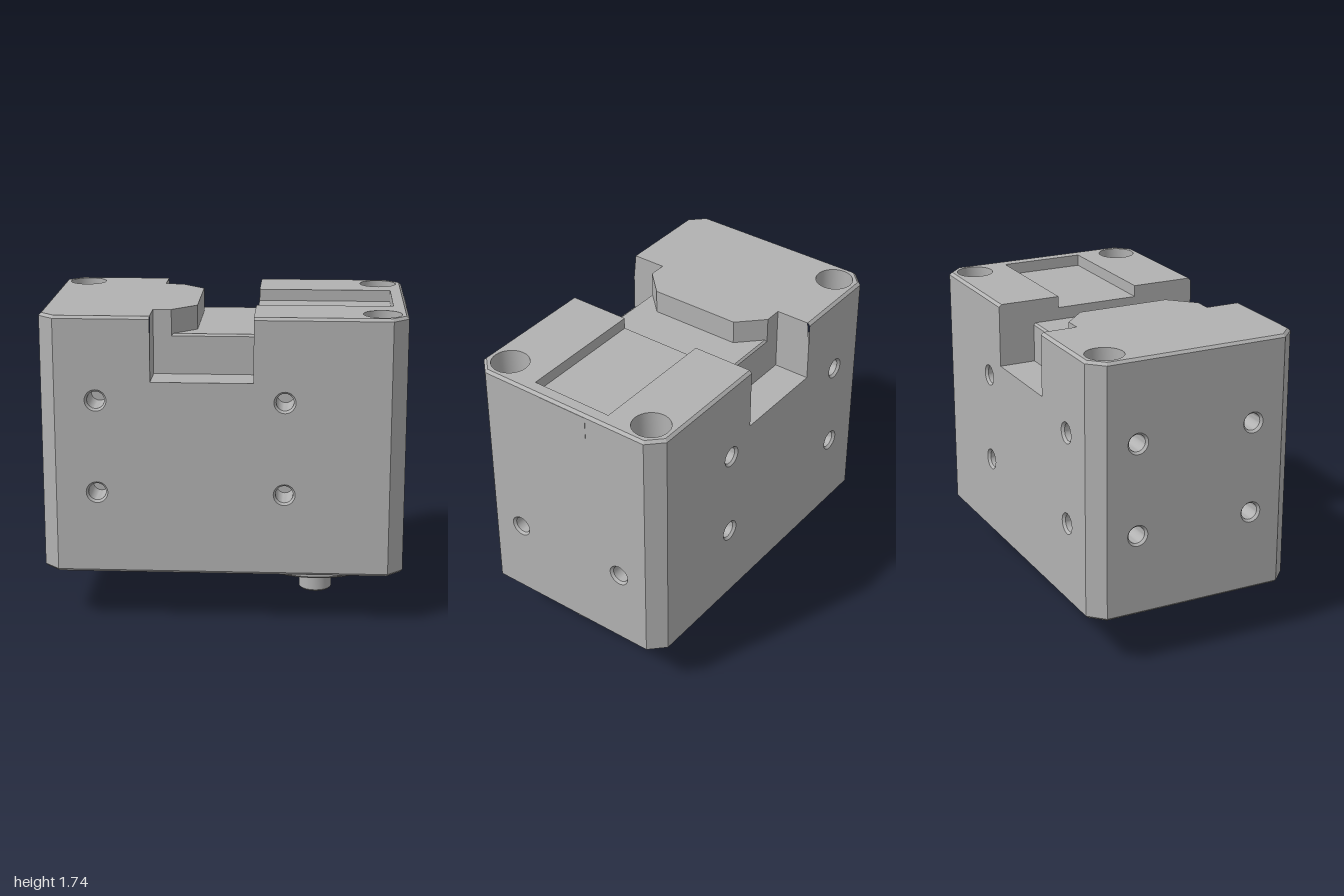
import * as THREE from 'three';
import { toCreasedNormals } from 'three/addons/utils/BufferGeometryUtils.js';

const TOP = 1.735, BASE = 0.285, BEVEL = 0.015;
const HALF = Math.PI / 2;

export function createModel() {
  const model = new THREE.Group();
  model.name = 'gearedActuator';
  const grey = new THREE.MeshStandardMaterial({ color: 0xb2b2b2 });
  grey.name = 'grey metal';

  function add(parent, name, geometry) {
    const mesh = new THREE.Mesh(geometry, grey);
    mesh.name = name;
    parent.add(mesh);
    return mesh;
  }

  function lathe(profile, segments = 48) {
    const pts = profile.map(([r, y]) => new THREE.Vector2(r, y));
    return toCreasedNormals(new THREE.LatheGeometry(pts, segments), 0.5);
  }

  // Flat face with drilled pockets; each hole is [x, y, pocket profile]
  function panel(name, pts, holes, rotation, position) {
    const shape = new THREE.Shape(pts.map(([x, y]) => new THREE.Vector2(x, y)));
    const group = new THREE.Group();
    group.name = name;
    for (const [x, y, profile] of holes) {
      shape.holes.push(new THREE.Path().absarc(x, y, profile[0][0], 0, Math.PI * 2, true));
      const pocket = add(group, name + 'Hole', lathe(profile, 32).rotateX(HALF));
      pocket.position.set(x, y, 0);
    }
    add(group, name + 'Face', new THREE.ShapeGeometry(shape, 16));
    group.rotation.set(...rotation);
    group.position.set(...position);
    model.add(group);
  }

  // Upward face from x,z points
  const deck = (name, pts, y, holes = []) => panel(name, pts.map(([x, z]) => [x, -z]),
    holes.map(([x, z, p]) => [x, -z, p]), [-HALF, 0, 0], [0, y, 0]);

  const rect = (x0, x1, y0, y1) => [[x0, y0], [x1, y0], [x1, y1], [x0, y1]];

  // Band of flat quads between a lower and an upper x,z polyline
  function strip(name, lower, y0, upper, y1) {
    const v = [];
    for (let i = 0; i < lower.length - 1; i++) {
      const a = [lower[i][0], y0, lower[i][1]], b = [lower[i + 1][0], y0, lower[i + 1][1]];
      const c = [upper[i + 1][0], y1, upper[i + 1][1]], d = [upper[i][0], y1, upper[i][1]];
      v.push(...a, ...b, ...c, ...a, ...c, ...d);
    }
    const g = new THREE.BufferGeometry();
    g.setAttribute('position', new THREE.Float32BufferAttribute(v, 3));
    g.computeVertexNormals();
    add(model, name, g);
  }

  // Housing outline inset by b: right-hand half, then left-hand half
  function half(b, s) {
    const cx = 0.915 - 0.414 * b, cz = 0.525 - 0.414 * b;
    return [[cx, 0.61 - b], [1 - b, cz], [1 - b, -cz], [cx, b - 0.61]].map(([x, z]) => [s * x, s * z]);
  }
  const posX = (b) => [[0.17, 0.61 - b], ...half(b, 1), [0.17, b - 0.61]];
  const negX = (b) => [[-0.39, b - 0.61], ...half(b, -1), [-0.39, 0.61 - b]];
  const ring = (b) => [...half(b, 1), ...half(b, -1), half(b, 1)[0]];

  // Pocket profiles
  const screwHole = [[0.06, 0], [0.048, -0.014], [0.048, -0.2], [0, -0.2]];
  const cornerHole = [[0.105, 0], [0.105, -0.2], [0.06, -0.2], [0.045, -0.25], [0.045, -0.3], [0, -0.33]];
  const plainHole = [[0.05, 0], [0.05, -0.12], [0, -0.12]];
  const pinHole = [[0.04, 0], [0.04, -0.07], [0, -0.07]];

  // Front and back with the notch
  const lo = BASE + BEVEL, hi = TOP - BEVEL;
  for (const s of [1, -1]) {
    const pts = [[-0.915, lo], [0.915, lo], [0.915, hi], [0.17, hi], [0.17, 1.375],
      [-0.39, 1.375], [-0.39, hi], [-0.915, hi]].map(([x, y]) => [s * x, y]);
    const holes = [];
    for (const x of [-0.69, 0.34]) for (const y of [0.75, 1.27]) holes.push([s * x, y, screwHole]);
    panel(s > 0 ? 'front' : 'back', pts, holes, [0, s > 0 ? 0 : Math.PI, 0], [0, 0, s * 0.61]);

    // Side with screw holes: one row on +x, two rows on -x
    const sideHoles = [];
    for (const z of [-0.345, 0.345]) for (const y of s > 0 ? [0.75] : [0.75, 1.27]) sideHoles.push([z, y, screwHole]);
    panel(s > 0 ? 'leftSide' : 'rightSide', rect(-0.525, 0.525, lo, hi), sideHoles, [0, s * HALF, 0], [s, 0, 0]);

    // Chamfered vertical corners
    const h = half(0, s);
    strip('cornerChamfer', h.slice(0, 2), lo, h.slice(0, 2), hi);
    strip('cornerChamfer', h.slice(2), lo, h.slice(2), hi);
  }

  // Edge bevels
  strip('bottomBevel', ring(BEVEL), BASE, ring(0), lo);
  strip('topBevelLeft', posX(0), hi, posX(BEVEL), TOP);
  strip('topBevelRight', negX(0), hi, negX(BEVEL), TOP);

  // Underside
  const under = [];
  for (const z of [-0.47, 0.47]) {
    for (const x of [-0.86, 0.86]) under.push([x, z, cornerHole]);
    under.push([0.18, z, plainHole]);
  }
  panel('underside', ring(BEVEL).slice(0, -1), under, [HALF, 0, 0], [0, BASE, 0]);

  // Top decks either side of the slot
  const tongue = [[-0.39, 0.4], [-0.29, 0.4], [-0.155, 0.265], [-0.155, -0.265], [-0.29, -0.4], [-0.39, -0.4]];
  const recess = [[0.17, -0.245], [0.925, -0.245], [0.925, 0.24], [0.17, 0.24]];
  deck('topRight', [...negX(BEVEL), ...tongue], TOP, [[-0.86, -0.47, cornerHole]]);
  deck('topLeft', [...posX(BEVEL), ...recess], TOP, [[0.86, -0.47, cornerHole], [0.86, 0.47, cornerHole]]);

  // Recess in the left deck
  deck('recessFloor', recess, 1.67);
  strip('recessWalls', recess, 1.67, recess, TOP);

  // Slot and notches
  deck('slotFloor', rect(-0.29, 0.17, -0.39, 0.39), 1.6);
  deck('frontLedge', rect(-0.39, 0.17, 0.4, 0.61), 1.375);
  deck('backLedge', rect(-0.39, 0.17, -0.61, -0.4), 1.375);
  strip('tongueWalls', [[-0.39, 0.61], ...tongue, [-0.39, -0.61]], 1.588,
    [[-0.39, 0.595], ...tongue, [-0.39, -0.595]], TOP);
  const frontNotch = [[-0.39, 0.61], [-0.39, 0.4], [0.17, 0.4]];
  const backNotch = [[0.17, -0.4], [-0.39, -0.4], [-0.39, -0.61]];
  strip('frontNotchWalls', frontNotch, 1.375, frontNotch, 1.588);
  strip('backNotchWalls', backNotch, 1.375, backNotch, 1.588);
  strip('slotBevelFront', [[-0.29, 0.4], [0.17, 0.4]], 1.588, [[-0.29, 0.39], [0.17, 0.39]], 1.6);
  strip('slotBevelBack', [[0.17, -0.4], [-0.29, -0.4]], 1.588, [[0.17, -0.39], [-0.29, -0.39]], 1.6);
  panel('slotWall', [[-0.61, 1.375], [-0.4, 1.375], [-0.4, 1.588], [-0.39, 1.6], [0.39, 1.6], [0.4, 1.588],
    [0.4, 1.375], [0.61, 1.375], [0.61, hi], [0.595, TOP], [0.24, TOP], [0.24, 1.67],
    [-0.245, 1.67], [-0.245, TOP], [-0.595, TOP], [-0.61, hi]], [], [0, -HALF, 0], [0.17, 0, 0]);

  // Small key plate in the left side
  add(model, 'keyPlate', new THREE.BoxGeometry(0.008, 0.13, 0.3)).position.set(0.998, 1.655, 0);

  // Output flange, boss and shaft
  const cx = 0.515;
  const flange = lathe([[0.4, 0.195], [0.415, 0.207], [0.415, BASE]], 64);
  add(model, 'flange', flange).position.x = cx;
  const disc = [], pins = [];
  for (let i = 0; i < 64; i++) disc.push([0.4 * Math.cos(i * Math.PI / 32), 0.4 * Math.sin(i * Math.PI / 32)]);
  for (let i = 0; i < 8; i++) pins.push([0.34 * Math.cos(i * Math.PI / 4), 0.34 * Math.sin(i * Math.PI / 4), pinHole]);
  panel('flangePlate', disc, pins, [HALF, 0, 0], [cx, 0.195, 0]);
  const boss = lathe([[0, 0.115], [0.16, 0.115], [0.17, 0.125], [0.17, 0.2]]);
  add(model, 'boss', boss).position.x = cx;
  const shaft = lathe([[0, 0], [0.085, 0], [0.095, 0.01], [0.095, 0.12]]);
  add(model, 'shaft', shaft).position.x = cx;

  return model;
}
